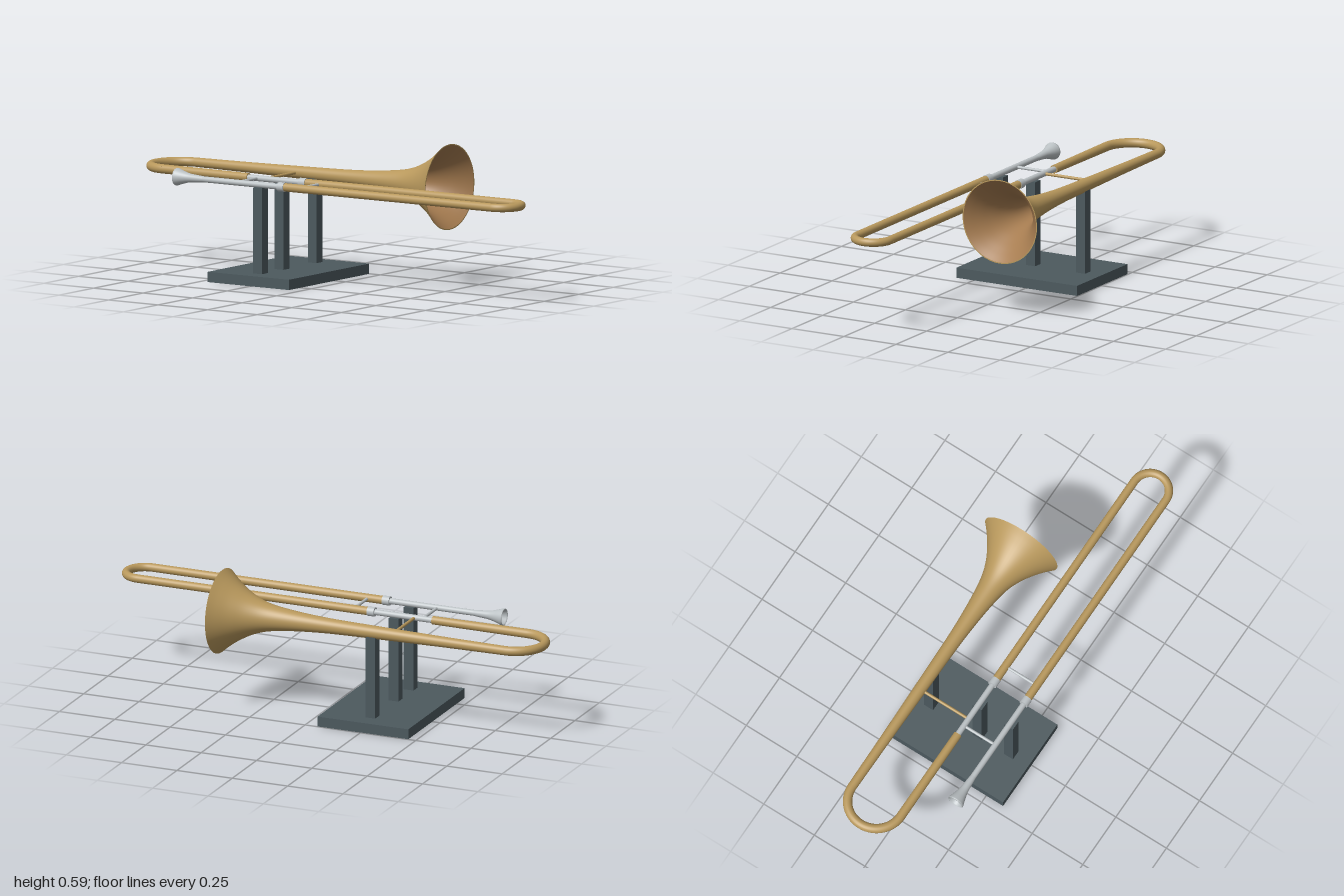
import * as THREE from 'three';

const AXIS_Y = 0.412;                                    // height of every tube axis
const LEAD_Z = 0.241, SLIDE_Z = 0.086, BELL_Z = -0.154;  // the three parallel runs
const TUBE_R = 0.0175, NECK_R = 0.0195;

const material = (name, color, side = THREE.FrontSide) =>
  new THREE.MeshStandardMaterial({ name, color, side });

export function createModel() {
  const model = new THREE.Group();
  model.name = 'trombone';
  const brass = material('brass', 0xb8985c);
  const innerBrass = material('inner bell bronze', 0xa67c50);
  const silver = material('silver', 0xbcc2c5);
  const slate = material('slate stand', 0x4c595e);

  function add(name, geometry, mat, x = 0, y = 0, z = 0) {
    const mesh = new THREE.Mesh(geometry, mat);
    mesh.name = name;
    mesh.position.set(x, y, z);
    model.add(mesh);
    return mesh;
  }

  // Straight tube running along x
  function tubeX(name, x0, x1, z, r, mat, r1 = r) {
    const g = new THREE.CylinderGeometry(r1, r, x1 - x0, 24).rotateZ(-Math.PI / 2);
    return add(name, g, mat, (x0 + x1) / 2, AXIS_Y, z);
  }

  // Thin brace running along z
  function brace(name, x, z0, z1, r, mat) {
    const g = new THREE.CylinderGeometry(r, r, Math.abs(z1 - z0), 12).rotateX(Math.PI / 2);
    return add(name, g, mat, x, AXIS_Y, (z0 + z1) / 2);
  }

  // Half-ring bow joining two runs; dir = +1 bulges to +x, -1 to -x
  function bow(name, x, zA, zB, r, dir) {
    const g = new THREE.TorusGeometry(Math.abs(zA - zB) / 2, r, 20, 40, Math.PI);
    g.rotateZ(-dir * Math.PI / 2).rotateX(Math.PI / 2);
    return add(name, g, brass, x, AXIS_Y, (zA + zB) / 2);
  }

  // Turned part about an x axis, from [x, radius] pairs
  function turned(name, pairs, z, mat, segments = 48) {
    const pts = pairs.map(([x, r]) => new THREE.Vector2(r, x));
    const g = new THREE.LatheGeometry(pts, segments).rotateZ(-Math.PI / 2);
    return add(name, g, mat, 0, AXIS_Y, z);
  }

  // Smooth bell flare, sampled through a few control radii
  const flare = new THREE.SplineCurve([
    [-0.86, 0.0195], [-0.6, 0.022], [-0.3, 0.027], [-0.1, 0.031], [0.02, 0.037],
    [0.12, 0.046], [0.21, 0.06], [0.28, 0.085], [0.34, 0.119], [0.385, 0.152], [0.416, 0.179],
  ].map(([x, r]) => new THREE.Vector2(x, r))).getPoints(50).map((p) => [p.x, p.y]);
  turned('bell', flare, BELL_Z, brass);
  turned('bellInside', [...flare.map(([x, r]) => [x, r - 0.004]).reverse(), [-0.86, 0]],
    BELL_Z, innerBrass);
  const rim = new THREE.RingGeometry(0.1745, 0.179, 48).rotateY(Math.PI / 2);
  add('bellRim', rim, brass, 0.416, AXIS_Y, BELL_Z);

  // Neck: bow at the back and the pipe into the slide
  bow('neckBow', -0.86, SLIDE_Z, BELL_Z, NECK_R, -1);
  tubeX('neckPipe', -0.86, -0.43, SLIDE_Z, NECK_R, brass, TUBE_R);

  // Outer slide with its end bow, inner tubes and ferrules
  bow('slideBow', 0.905, SLIDE_Z, LEAD_Z, TUBE_R, 1);
  for (const [side, z, start] of [['left', LEAD_Z, -0.6], ['right', SLIDE_Z, -0.44]]) {
    tubeX(side + 'OuterSlide', -0.15, 0.905, z, TUBE_R, brass);
    tubeX(side + 'InnerSlide', start, -0.15, z, 0.0125, silver);
    tubeX(side + 'Ferrule', -0.17, -0.138, z, 0.0195, silver);
  }

  // Mouthpiece with a hollow cup
  turned('mouthpiece', [
    [-0.635, 0], [-0.645, 0.012], [-0.665, 0.024], [-0.681, 0.03], [-0.686, 0.033],
    [-0.685, 0.036], [-0.678, 0.036], [-0.655, 0.028], [-0.63, 0.021], [-0.61, 0.0175],
    [-0.57, 0.0145], [-0.55, 0.0125],
  ], LEAD_Z, silver, 32);

  // Cross braces
  brace('bellBrace', -0.348, SLIDE_Z, BELL_Z, 0.0065, brass);
  brace('innerSlideBrace', -0.383, SLIDE_Z, LEAD_Z, 0.0065, silver);
  brace('outerSlideBrace', -0.07, SLIDE_Z, LEAD_Z, 0.0065, silver);

  // Display stand
  add('standBase', new THREE.BoxGeometry(0.41, 0.043, 0.58), slate, -0.26, 0.0215, 0.043);
  for (const [name, z, top] of [['leftPost', LEAD_Z, 0.402], ['middlePost', SLIDE_Z, 0.402],
    ['bellPost', BELL_Z, 0.395]]) {
    add(name, new THREE.BoxGeometry(0.044, top - 0.04, 0.044), slate, -0.262, (top + 0.04) / 2, z);
  }
  return model;
}
